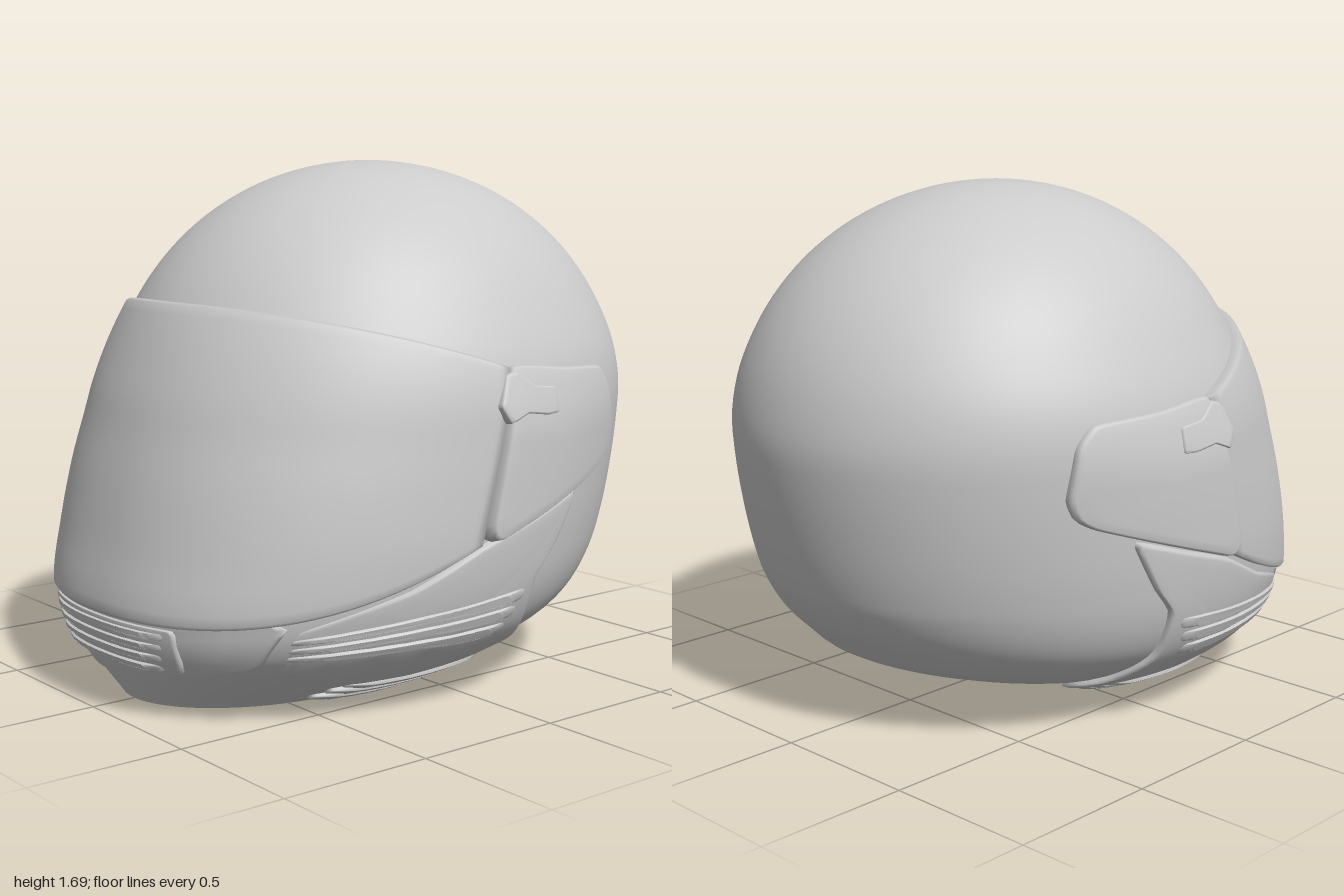
import * as THREE from 'three';
import { mergeVertices } from 'three/addons/utils/BufferGeometryUtils.js';

const { clamp, smoothstep } = THREE.MathUtils;
const material = new THREE.MeshStandardMaterial({ color: 0xcccccc, side: THREE.DoubleSide });

// Shell cross-sections: height, half width, reach forward, reach back, centre z, front squareness
const SECTIONS = [
  [0, 0.4, 0.65, 0.65, 0.2, 2],
  [0.1, 0.58, 0.82, 0.78, 0.09, 2.15],
  [0.2, 0.71, 0.915, 0.82, 0.04, 2.3],
  [0.32, 0.775, 0.955, 0.88, 0.02, 2.3],
  [0.5, 0.81, 0.94, 0.93, 0, 2.25],
  [0.7, 0.82, 0.94, 0.93, -0.045, 2.2],
  [0.9, 0.82, 0.92, 0.92, -0.08, 2.1],
  [1.07, 0.815, 0.901, 0.9, -0.1, 2.05],
  [1.25, 0.8, 0.885, 0.9, -0.1, 2],
  [1.69, 0.8, 0.87, 0.9, -0.1, 2],
];

// Smooth interpolation of the section table, closed by an elliptical dome
function section(h) {
  h = clamp(h, 0, 1.69);
  const last = SECTIONS.length - 1;
  let i = 0;
  while (i < last - 1 && h > SECTIONS[i + 1][0]) i++;
  const A = SECTIONS[i], B = SECTIONS[i + 1], d = B[0] - A[0], t = (h - A[0]) / d;
  const slope = (k, c) => {
    const p = SECTIONS[Math.max(k - 1, 0)], q = SECTIONS[Math.min(k + 1, last)];
    return (q[c] - p[c]) / (q[0] - p[0]);
  };
  const val = (c) => (2 * t ** 3 - 3 * t * t + 1) * A[c] + (t ** 3 - 2 * t * t + t) * d * slope(i, c)
    + (3 * t * t - 2 * t ** 3) * B[c] + (t ** 3 - t * t) * d * slope(i + 1, c);
  const dome = h > 0.9 ? Math.sqrt(Math.max(0, 1 - ((h - 0.9) / 0.79) ** 2)) : 1;
  return { w: val(1) * dome, f: val(2) * dome, b: val(3) * dome, c: val(4), n: val(5) };
}

// The lower edge sweeps up toward the back
function lifted(x, h, z, s) {
  const t = clamp((s.c + s.f - z) / (s.f + s.b + 1e-6), 0, 1);
  return new THREE.Vector3(x, h + 0.12 * t ** 3 * Math.max(0, 1 - h / 0.45), z);
}

// Three ways to address the shell: by angle, from the side (z, h), from the front (x, h)
function byAngle(phi, h) {
  const s = section(h), co = Math.cos(phi), si = Math.sin(phi);
  const e = co > 0 ? 2 / s.n : 1;
  const x = s.w * Math.sign(si) * Math.abs(si) ** e;
  const z = s.c + (co > 0 ? s.f : s.b) * Math.sign(co) * Math.abs(co) ** e;
  return lifted(x, h, z, s);
}
function bySide(z, h) {
  const s = section(h), front = z > s.c, n = front ? s.n : 2;
  const q = Math.abs((z - s.c) / (front ? s.f : s.b));
  return lifted(s.w * Math.max(0, 1 - q ** n) ** (1 / n), h, z, s);
}
function byFront(x, h) {
  const s = section(h);
  const z = s.c + s.f * Math.max(0, 1 - Math.abs(x / s.w) ** s.n) ** (1 / s.n);
  return lifted(x, h, z, s);
}

// Push a surface point out along its normal
function offset(map, a, b, dist, flip = 1) {
  const e = 0.008;
  const da = map(a + e, b).sub(map(a - e, b)), db = map(a, b + e).sub(map(a, b - e));
  return map(a, b).addScaledVector(da.cross(db).normalize(), dist * flip);
}

// Mesh from a grid of points fn(i, j)
function gridMesh(name, nu, nv, fn) {
  const pos = [], idx = [];
  for (let j = 0; j <= nv; j++) for (let i = 0; i <= nu; i++) pos.push(...fn(i, j).toArray());
  for (let j = 0; j < nv; j++) for (let i = 0; i < nu; i++) {
    const a = j * (nu + 1) + i, b = a + nu + 1;
    idx.push(a, a + 1, b, a + 1, b + 1, b);
  }
  let geo = new THREE.BufferGeometry();
  geo.setAttribute('position', new THREE.Float32BufferAttribute(pos, 3));
  geo.setIndex(idx);
  geo = mergeVertices(geo, 1e-5);
  geo.computeVertexNormals();
  const mesh = new THREE.Mesh(geo, material);
  mesh.name = name;
  return mesh;
}

// Raised pad with a bevelled rim, wrapped on the shell; view is 'front', or 1 / -1 for left / right
function pad(name, outline, view, height, rim = 0.95, tension = 0.2) {
  const curve = new THREE.CatmullRomCurve3(
    outline.map(([a, b]) => new THREE.Vector3(a, b, 0)), true, 'catmullrom', tension);
  const pts = curve.getSpacedPoints(96).slice(0, 96);
  const mid = pts.reduce((m, p) => m.add(p), new THREE.Vector3()).divideScalar(96);
  const area = THREE.ShapeUtils.area(pts);
  if (area * (view === 1 ? -1 : 1) < 0) pts.reverse();
  const rings = [[1, -0.02, 0], [1, 0, 0.5], [(1 + rim) / 2, 0, 0.88], [rim, 0, 1],
    [0.8, 0, 1], [0.6, 0, 1], [0.4, 0, 1], [0.2, 0, 1], [0, 0, 1]];
  return gridMesh(name, 96, rings.length - 1, (i, j) => {
    const [s, base, k] = rings[j], p = pts[i % 96];
    const a = mid.x + (p.x - mid.x) * s, b = mid.y + (p.y - mid.y) * s;
    const d = base + k * (typeof height === 'function' ? height(a, b) : height);
    if (view === 'front') return offset(byFront, a, b, d);
    const v = offset(bySide, a, b, d, -1);
    v.x *= view;
    return v;
  });
}

// Slim tapered bar between two points
const bar = (a0, b0, a1, b1, w0, w1) => {
  const am = (a0 + a1) / 2, bm = (b0 + b1) / 2 + 0.008, wm = (w0 + w1) / 2;
  return [[a0, b0 - w0], [am, bm - wm], [a1, b1 - w1], [a1, b1 + w1], [am, bm + wm], [a0, b0 + w0]];
};

export function createModel() {
  const model = new THREE.Group();

  // Outer shell
  model.add(gridMesh('shell', 128, 72, (i, j) => {
    const h = j < 36 ? (0.9 * j) / 36 : 0.9 + 0.79 * Math.sin(((j - 36) / 36) * Math.PI / 2);
    return byAngle(-Math.PI + (i / 128) * Math.PI * 2, h);
  }));

  // Neck opening: rim and inner wall, closed by a flat liner
  const neck = (i, scale, y) => {
    const p = byAngle(-Math.PI + (i / 96) * Math.PI * 2, 0);
    return new THREE.Vector3(p.x * scale, y ?? p.y, 0.2 + (p.z - 0.2) * scale);
  };
  model.add(gridMesh('neckWall', 96, 3, (i, j) =>
    [neck(i, 0.97, 0.22), neck(i, 0.965, 0.17), neck(i, 0.97), neck(i, 1)][j]));
  model.add(gridMesh('neckLiner', 96, 1, (i, j) => neck(i, j ? 0.97 : 0, 0.22)));

  // Visor with a thin bevelled border, standing prouder toward the hinges
  const steps = (n) => [0, 0, 0.012, ...Array.from({ length: n - 1 }, (_, k) => (k + 1) / n), 0.988, 1, 1];
  const us = steps(56), vs = steps(24);
  model.add(gridMesh('visor', us.length - 1, vs.length - 1, (i, j) => {
    const phi = (us[i] * 2 - 1) * 1.45, q = Math.abs(phi) / 1.45;
    const low = 0.31 + 0.23 * q ** 3.5, high = 1.243 - 0.183 * q ** 2.4;
    const edge = Math.min(i, j, us.length - 1 - i, vs.length - 1 - j);
    const d = edge === 0 ? -0.015 : (edge === 1 ? 0.018 : 0.026) + 0.014 * q ** 6;
    return offset(byAngle, phi, low + (high - low) * vs[j], d);
  }));

  // Front of the chin with its slatted grille
  model.add(pad('chinPlate', [[-0.6, 0.335], [0, 0.32], [0.6, 0.335], [0.52, 0.2], [0.45, 0.18],
    [0.15, 0.1], [-0.15, 0.1], [-0.45, 0.18], [-0.52, 0.2]], 'front', 0.01, 0.97, 0.1));
  model.add(pad('grilleFrame', [[-0.34, 0.29], [-0.31, 0.302], [0.31, 0.302], [0.34, 0.29], [0.335, 0.2],
    [0.29, 0.155], [-0.29, 0.155], [-0.335, 0.2]], 'front', 0.018, 0.96));
  for (let k = 0; k < 4; k++) {
    const w = 0.32 - (3 - k) * 0.012, y = 0.178 + k * 0.034;
    model.add(pad('grilleSlat', [[-w, y - 0.01], [w, y - 0.01], [w, y + 0.01], [-w, y + 0.01]],
      'front', 0.026, 0.7, 0.05));
  }

  const chinRise = (z) => 0.004 + 0.016 * (1 - smoothstep(z, 0.1, 0.6));
  for (const side of [1, -1]) {
    const group = new THREE.Group();
    group.name = side > 0 ? 'leftSide' : 'rightSide';

    // Chin bar stepping out from the shell, with a flared rear edge
    group.add(pad('chinBar', [[0.66, 0.31], [0.35, 0.42], [0.12, 0.53], [-0.1, 0.6], [-0.3, 0.66],
      [-0.21, 0.5], [-0.13, 0.4], [-0.13, 0.24], [-0.18, 0.13], [-0.24, 0.06], [0.1, 0.02],
      [0.5, 0.1], [0.66, 0.17]], side, chinRise, 0.93));

    // Upper and lower vent ribs
    for (let k = 0; k < 3; k++) {
      group.add(pad('sideVentRib', bar(0.66, 0.225 + k * 0.028, -0.04 - k * 0.025, 0.245 + k * 0.055,
        0.008, 0.019), side, (z) => chinRise(z) + 0.008, 0.75));
      group.add(pad('lowerVentRib', bar(0.46 - k * 0.03, 0.03 + k * 0.026, -0.12, 0.022 + k * 0.03,
        0.007, 0.011), side, (z) => chinRise(z) + 0.009, 0.7));
    }

    // Hinge cover, thinner along its top, and the visor tab lying on it
    const coverRise = (z, y) =>
      (0.028 + 0.036 * clamp((z + 0.5) / 0.6, 0, 1)) * (1 - 0.45 * smoothstep(y, 0.85, 1.08));
    group.add(pad('hingeCover', [[0.0, 1.065], [-0.22, 1.05], [-0.44, 1.035], [-0.5, 0.97], [-0.525, 0.82],
      [-0.5, 0.76], [-0.43, 0.72], [0.08, 0.55], [0.125, 0.58], [0.09, 0.74], [0.05, 0.9]],
    side, coverRise, 0.94));
    group.add(pad('visorTab', [[0.04, 1.04], [0.0, 1.05], [-0.07, 1.005], [-0.16, 0.995], [-0.16, 0.92],
      [-0.11, 0.915], [-0.02, 0.925], [0.05, 0.9], [0.08, 0.95]],
    side, (z, y) => coverRise(z, y) + 0.006, 0.92, 0.1));
    model.add(group);
  }
  return model;
}
